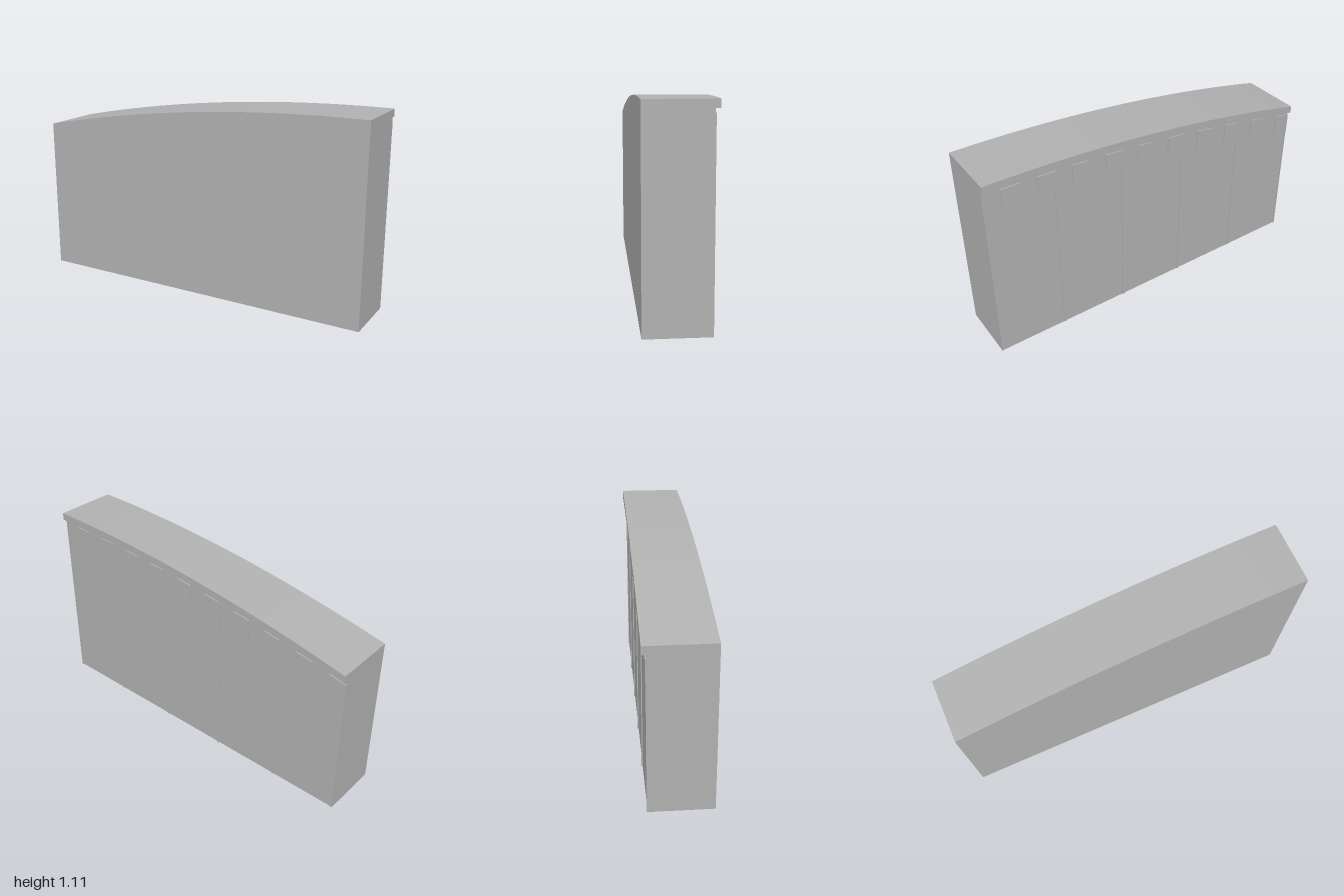
import * as THREE from 'three';

const FRONT = 0.18, BACK = -0.155, CORNICE_BACK = -0.18;

// height of the gently arched top edge
const top = x => 1.112 - 0.0555 * (1 - x) ** 2;

export function createModel() {
  const group = new THREE.Group();
  const stone = new THREE.MeshStandardMaterial({ color: 0xb0b0b0 });
  stone.name = 'grey stone';

  // slab between x0 and x1 whose upper edge follows the arch, lowered by drop;
  // a null height makes the lower edge flat on the ground
  function slab(name, x0, x1, drop, height, z0, z1) {
    const n = Math.max(1, Math.round((x1 - x0) * 20));
    const upper = [], lower = [];
    for (let i = 0; i <= n; i++) {
      const x = x0 + (x1 - x0) * i / n;
      const y = top(x) - drop;
      upper.push(new THREE.Vector2(x, y));
      if (height !== null) lower.push(new THREE.Vector2(x, y - height));
    }
    if (height === null) lower.push(new THREE.Vector2(x0, 0), new THREE.Vector2(x1, 0));
    const shape = new THREE.Shape([...lower, ...upper.reverse()]);
    const geometry = new THREE.ExtrudeGeometry(shape, { depth: z1 - z0, bevelEnabled: false });
    geometry.translate(0, 0, z0);
    const mesh = new THREE.Mesh(geometry, stone);
    mesh.name = name;
    group.add(mesh);
  }

  // main wall and the overhanging cornice along its back
  slab('wall', -1, 1, 0, null, BACK, FRONT);
  slab('cornice', -1, 1, 0, 0.042, CORNICE_BACK, BACK);

  // thin upright ribs dividing the back into five bays
  for (let i = 0; i <= 5; i++) {
    const x = -1 + i * 0.4;
    slab('rib', Math.max(-1, x - 0.006), Math.min(1, x + 0.006), 0.062, null, -0.16, BACK);
  }

  // row of shallow blocks below the cornice
  for (let i = 0; i < 10; i++) {
    const x = -1 + i * 0.2;
    slab('block', x, x + 0.1, 0.066, 0.115, -0.162, BACK);
  }

  return group;
}
